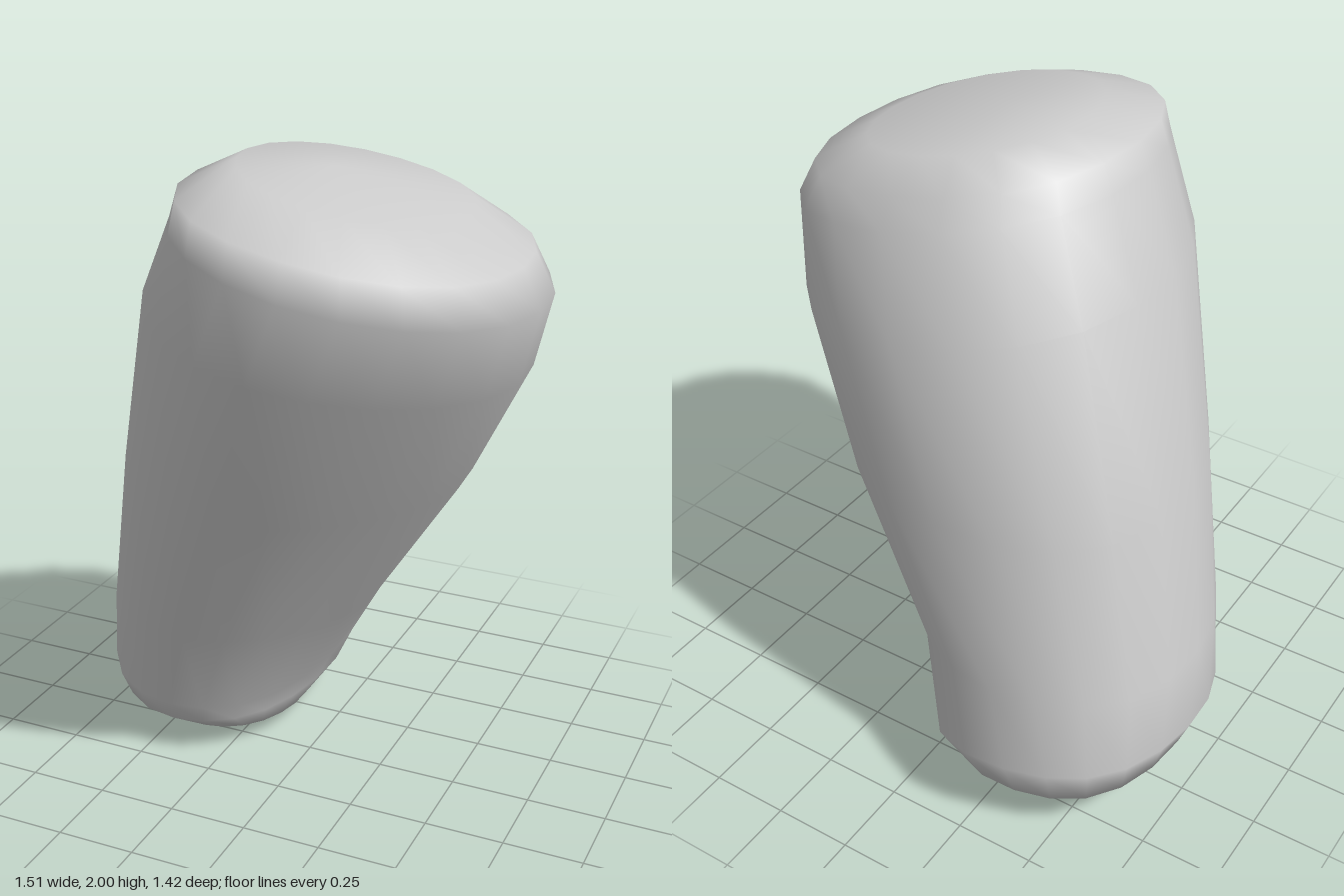
import * as THREE from 'three';

const SIDES = 20;

// Cross-sections from bottom to top: centre x, y, z, radius x, radius z, slope along x, slope along z,
// then the swell of the four corners: front left, front right, back right, back left
const RINGS = [
  [-0.33, 0.05, -0.15, 0.20, 0.26, 0.03, 0.06, 0, 0, 0, 0.03],
  [-0.395, 0.14, -0.215, 0.305, 0.42, -0.04, -0.02, 0, 0.02, 0.02, 0.08],
  [-0.40, 0.24, -0.24, 0.345, 0.45, -0.08, -0.12, 0, 0.03, 0.02, 0.10],
  [-0.29, 0.50, -0.15, 0.43, 0.475, 0, 0, -0.03, 0, 0.03, 0.03],
  [-0.07, 1.00, -0.03, 0.54, 0.545, 0, 0, -0.045, -0.015, 0.065, 0.03],
  [0.115, 1.50, 0.09, 0.56, 0.585, -0.18, 0, -0.035, -0.01, 0.06, 0.035],
  [0.22, 1.75, 0.17, 0.525, 0.535, -0.19, 0, 0, 0, 0.03, 0.045],
  [0.205, 1.85, 0.155, 0.48, 0.49, -0.18, 0, 0.02, 0.02, 0.03, 0.04],
  [0.18, 1.935, 0.10, 0.33, 0.34, -0.20, 0, 0, 0, 0, 0.02],
];
const BOTTOM = [-0.32, 0, -0.19];
const TOP = [0.12, 1.975, 0.10];

// Joins the tilted rings into one closed smooth skin
function loft(rings, bottom, top) {
  const positions = [...bottom];
  const index = [];
  for (const [cx, cy, cz, rx, rz, sx, sz, ...swell] of rings) {
    for (let i = 0; i < SIDES; i++) {
      const a = (i / SIDES) * Math.PI * 2;
      let dx = Math.cos(a) * rx;
      let dz = Math.sin(a) * rz;
      // Each corner is fuller or flatter than the plain ellipse
      swell.forEach((amount, k) => {
        const corner = (k + 0.5) * Math.PI / 2;
        const push = amount * Math.max(0, Math.cos(a - corner)) ** 4;
        dx += push * Math.cos(corner);
        dz += push * Math.sin(corner);
      });
      positions.push(cx + dx, cy + sx * dx + sz * dz, cz + dz);
    }
  }
  positions.push(...top);
  const last = positions.length / 3 - 1;
  const at = (ring, i) => 1 + ring * SIDES + (i % SIDES);
  for (let i = 0; i < SIDES; i++) {
    index.push(0, at(0, i), at(0, i + 1));
    for (let r = 0; r < rings.length - 1; r++) {
      index.push(at(r, i), at(r + 1, i), at(r + 1, i + 1));
      index.push(at(r, i), at(r + 1, i + 1), at(r, i + 1));
    }
    index.push(last, at(rings.length - 1, i + 1), at(rings.length - 1, i));
  }
  const geometry = new THREE.BufferGeometry();
  geometry.setAttribute('position', new THREE.Float32BufferAttribute(positions, 3));
  geometry.setIndex(index);
  geometry.computeVertexNormals();
  return geometry;
}

export function createModel() {
  const group = new THREE.Group();
  group.name = 'model';
  // Leaning, tapered body with domed ends
  const body = new THREE.Mesh(
    loft(RINGS, BOTTOM, TOP),
    new THREE.MeshStandardMaterial({ color: 0xcccccc })
  );
  body.name = 'taperedBody';
  group.add(body);
  return group;
}
